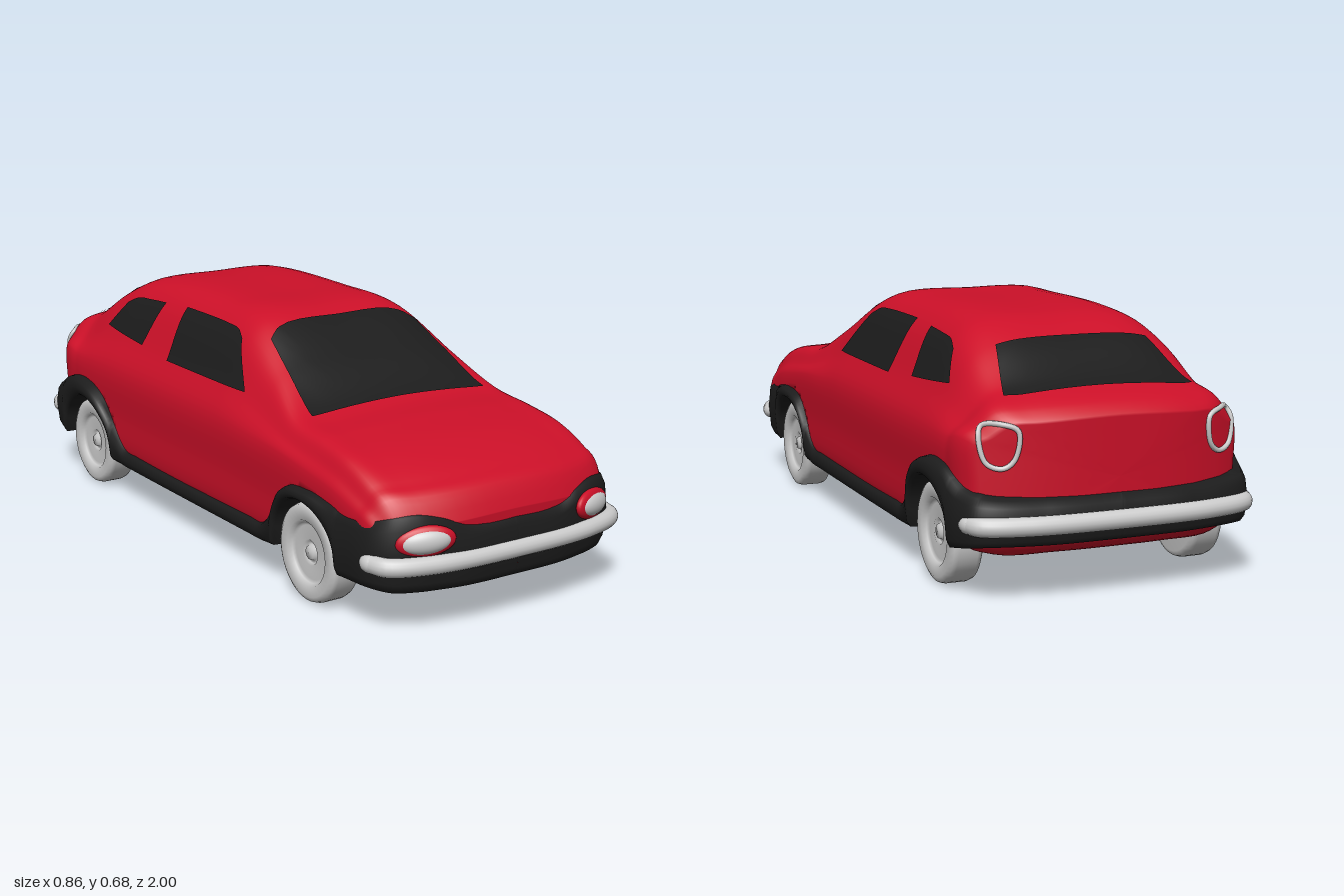
import * as THREE from 'three';

const mat = (color, side = THREE.FrontSide) => new THREE.MeshStandardMaterial({ color, side });
const RED = mat(0xcc1028), GREY = mat(0xcccccc);
const BLACK = mat(0x1c1c1c), GLASS = mat(0x1c1c1c, THREE.DoubleSide);
const AXLES = [0.58, -0.66], WHEEL_R = 0.135, ARCH_R = 0.15;
const lerp = THREE.MathUtils.lerp;

function mesh(name, geometry, material) {
  const m = new THREE.Mesh(geometry, material);
  m.name = name;
  return m;
}

// Surface through a list of equally long rows of points
function grid(rows) {
  const n = rows[0].length, index = [];
  for (let i = 0; i < rows.length - 1; i++) {
    for (let j = 0; j < n - 1; j++) {
      const a = i * n + j, c = a + n;
      index.push(a, a + 1, c, a + 1, c + 1, c);
    }
  }
  const g = new THREE.BufferGeometry();
  g.setAttribute('position', new THREE.Float32BufferAttribute(rows.flat(2), 3));
  g.setIndex(index);
  g.computeVertexNormals();
  return g;
}

// Stations, rear to front: z, floor, half width, shoulder height, roof half width, top
const STATIONS = [
  [-0.945, 0.15, 0.365, 0.4, 0.29, 0.465],
  [-0.92, 0.125, 0.38, 0.41, 0.305, 0.487],
  [-0.8, 0.11, 0.388, 0.4, 0.29, 0.535],
  [-0.65, 0.105, 0.39, 0.4, 0.285, 0.62],
  [-0.55, 0.1, 0.39, 0.4, 0.28, 0.66],
  [-0.45, 0.1, 0.39, 0.4, 0.275, 0.674],
  [-0.1, 0.098, 0.39, 0.4, 0.275, 0.677],
  [0.08, 0.1, 0.39, 0.4, 0.275, 0.672],
  [0.14, 0.1, 0.39, 0.4, 0.28, 0.655],
  [0.3, 0.1, 0.39, 0.39, 0.3, 0.565],
  [0.45, 0.1, 0.39, 0.38, 0.335, 0.475],
  [0.6, 0.105, 0.39, 0.36, 0.34, 0.455],
  [0.75, 0.11, 0.39, 0.34, 0.345, 0.43],
  [0.88, 0.115, 0.385, 0.31, 0.345, 0.387],
  [0.94, 0.125, 0.38, 0.29, 0.34, 0.352],
  [0.965, 0.16, 0.36, 0.26, 0.33, 0.3],
];

function bodyGeometry() {
  const spline = new THREE.CubicInterpolant(
    STATIONS.map(s => s[0]), STATIONS.flatMap(s => s.slice(1)), 5);

  const section = (z, scale) => {
    const [yb, w, ys, rw, yt] = spline.evaluate(z);
    const half = [
      [0.4 * w, yb], [0.78 * w, yb], [0.965 * w, yb + 0.03], [w, lerp(yb + 0.03, ys, 0.5)], [w, ys],
      [lerp(w, rw, 0.4), lerp(ys, yt, 0.34)], [rw, lerp(ys, yt, 0.8)], [rw * 0.74, yt - 0.008],
    ];
    const loop = [[0, yb], ...half, [0, yt], ...half.map(([x, y]) => [-x, y]).reverse()];
    const curve = new THREE.CatmullRomCurve3(loop.map(([x, y]) => new THREE.Vector3(x, y, 0)), true);
    const mid = (yb + yt) / 2;
    return curve.getPoints(108).map(p => {
      let x = p.x * scale;
      const y = lerp(mid, p.y, scale);
      // Round the nose and tail in plan
      const end = THREE.MathUtils.smoothstep(Math.abs(z), 0.6, 0.965);
      const zz = z - Math.sign(z) * 0.09 * end * Math.abs(x / 0.39) ** 3;
      // Recess the wheel wells
      const inWell = AXLES.some(a => Math.hypot(zz - a, y - WHEEL_R) < ARCH_R + 0.008);
      if (inWell && Math.abs(x) > 0.28) x = Math.sign(x) * 0.28;
      return [x, y, zz];
    });
  };

  const rows = [], steps = 160, caps = [0, 0.3, 0.6, 0.85, 0.96];
  const z0 = STATIONS[0][0], z1 = STATIONS.at(-1)[0];
  caps.forEach(s => rows.push(section(z0, s)));
  for (let i = 0; i <= steps; i++) rows.push(section(lerp(z0, z1, i / steps), 1));
  caps.reverse().forEach(s => rows.push(section(z1, s)));
  return grid(rows);
}

// Lower cladding, nose to tail: x, z, top, bottom
const TRIM = [
  [0, 0.975, 0.28, 0.12], [0.15, 0.972, 0.28, 0.12], [0.22, 0.96, 0.305, 0.12],
  [0.29, 0.942, 0.317, 0.12], [0.35, 0.91, 0.312, 0.12], [0.385, 0.86, 0.302, 0.125],
  [0.4, 0.75, 0.302, 0.125], [0.415, 0.6, 0.315, 0.12], [0.41, 0.48, 0.29, 0.12],
  [0.398, 0.4, 0.19, 0.11], [0.395, 0.36, 0.16, 0.105], [0.395, 0.3, 0.158, 0.105],
  [0.395, -0.37, 0.158, 0.105], [0.395, -0.43, 0.162, 0.105], [0.4, -0.48, 0.205, 0.11],
  [0.418, -0.56, 0.295, 0.12], [0.423, -0.66, 0.335, 0.12], [0.418, -0.76, 0.33, 0.125],
  [0.405, -0.86, 0.285, 0.14], [0.37, -0.92, 0.272, 0.15], [0.2, -0.96, 0.265, 0.15],
  [0, -0.967, 0.265, 0.15],
];

function trimGeometry() {
  const times = [0];
  for (let i = 1; i < TRIM.length; i++) {
    times.push(times[i - 1] + Math.hypot(TRIM[i][0] - TRIM[i - 1][0], TRIM[i][1] - TRIM[i - 1][1]));
  }
  const spline = new THREE.CubicInterpolant(times, TRIM.flat(), 4);
  const at = t => Array.from(spline.evaluate(t));
  const total = times.at(-1), steps = 320, rows = [];
  for (let i = 0; i <= steps; i++) {
    const t = total * i / steps;
    const [x, z, top, low] = at(t);
    const p = at(Math.max(0, t - 0.004)), q = at(Math.min(total, t + 0.004));
    const len = Math.hypot(q[0] - p[0], q[1] - p[1]);
    const nx = -(q[1] - p[1]) / len, nz = (q[0] - p[0]) / len;
    // Lift the lower edge over the wheels
    let bottom = low, inset = 0.05;
    for (const a of AXLES) {
      const d = Math.abs(z - a);
      if (d < ARCH_R && Math.abs(x) > 0.3) {
        bottom = Math.max(low, WHEEL_R + Math.sqrt(ARCH_R ** 2 - d * d));
        inset = 0.13;
      }
    }
    const h = top - bottom;
    const profile = [[-0.05, top + 0.006], [-0.012, top], [0, top - 0.15 * h], [0.006, top - 0.5 * h],
      [0, bottom + 0.12 * h], [-0.01, bottom], [-inset, bottom]];
    rows.push(profile.map(([o, y]) => [Math.max(0, x + nx * o), y, z + nz * o]));
  }
  const mirrored = rows.slice().reverse().map(r => r.map(([x, y, z]) => [-x, y, z]));
  return grid([...rows, ...mirrored]);
}

export function createModel() {
  const car = new THREE.Group();
  car.name = 'car';
  const body = mesh('body', bodyGeometry(), RED);
  car.add(body, mesh('lowerCladding', trimGeometry(), BLACK));

  // Drop a point onto the body and lift it slightly off the paint
  const ray = new THREE.Raycaster();
  const project = (origin, dir, lift = 0.004) => {
    ray.set(new THREE.Vector3(...origin), new THREE.Vector3(...dir));
    const hit = ray.intersectObject(body)[0];
    return hit ? hit.point.addScaledVector(hit.face.normal, lift) : null;
  };

  // Window between a lower and an upper edge, laid on the body
  const pane = (name, lower, upper, toRay) => {
    const edge = pts => new THREE.CatmullRomCurve3(pts.map(([a, b]) => new THREE.Vector3(a, b, 0))).getPoints(20);
    const lo = edge(lower), up = edge(upper), rows = [];
    for (let i = 0; i <= 14; i++) {
      rows.push(lo.map((p, j) => {
        const q = p.clone().lerp(up[j], i / 14);
        return project(...toRay(q.x, q.y)).toArray();
      }));
    }
    car.add(mesh(name, grid(rows), GLASS));
  };
  const fromAbove = (x, z) => [[x, 2, z], [0, -1, 0]];
  pane('windshield', [[-0.29, 0.46], [0, 0.452], [0.29, 0.46]],
    [[-0.245, 0.185], [-0.2, 0.16], [0, 0.153], [0.2, 0.16], [0.245, 0.185]], fromAbove);
  pane('rearWindow', [[-0.265, -0.825], [-0.22, -0.84], [0, -0.842], [0.22, -0.84], [0.265, -0.825]],
    [[-0.215, -0.655], [0, -0.647], [0.215, -0.655]], fromAbove);

  const wheelProfile = [[0, -0.045], [0.118, -0.045], [0.131, -0.038], [0.135, -0.026], [0.135, 0.026],
    [0.131, 0.038], [0.118, 0.045], [0.09, 0.043], [0.082, 0.032], [0.074, 0.026], [0.035, 0.03],
    [0.03, 0.022], [0.022, 0.022], [0.018, 0.032], [0, 0.034]].map(p => new THREE.Vector2(...p));
  const wheelGeometry = new THREE.LatheGeometry(wheelProfile, 40);

  for (const s of [1, -1]) {
    const side = s > 0 ? 'left' : 'right';
    const fromSide = (z, y) => [[s * 2, y, z], [-s, 0, 0]];
    pane(side + 'FrontWindow', [[0.21, 0.482], [0, 0.482], [-0.222, 0.482]],
      [[0.1, 0.605], [0.06, 0.623], [0, 0.628], [-0.1, 0.63], [-0.237, 0.63]], fromSide);
    pane(side + 'RearWindow', [[-0.388, 0.495], [-0.5, 0.502], [-0.63, 0.512]],
      [[-0.355, 0.623], [-0.45, 0.617], [-0.52, 0.61], [-0.565, 0.59]], fromSide);

    // Headlight: lens in a red bezel
    const headlight = new THREE.Group();
    headlight.name = side + 'Headlight';
    const bezel = mesh('bezel', new THREE.SphereGeometry(1, 32, 20), RED);
    bezel.scale.set(0.079, 0.041, 0.02);
    const lens = mesh('lens', new THREE.SphereGeometry(1, 32, 20), GREY);
    lens.scale.set(0.069, 0.034, 0.028);
    headlight.add(bezel, lens);
    headlight.position.set(s * 0.272, 0.256, 0.945);
    headlight.rotation.set(0, s * 0.38, -s * 0.08);
    car.add(headlight);

    // Tail light surround
    const outline = [[0.265, 0.435], [0.3, 0.45], [0.34, 0.445], [0.352, 0.42], [0.338, 0.355], [0.3, 0.342], [0.272, 0.365]]
      .map(([x, y]) => project([s * x, y, -2], [0, 0, 1], 0.003)).filter(Boolean);
    car.add(mesh(side + 'TailLightRing',
      new THREE.TubeGeometry(new THREE.CatmullRomCurve3(outline, true), 56, 0.007, 8, true), GREY));

    AXLES.forEach((z, i) => {
      const wheel = mesh(side + (i ? 'RearWheel' : 'FrontWheel'), wheelGeometry, GREY);
      wheel.position.set(s * 0.345, WHEEL_R, z);
      wheel.rotation.z = -s * Math.PI / 2;
      car.add(wheel);
    });
  }

  // Wrap-around bumpers with rounded ends
  const bumper = (name, y, half) => {
    const pts = [...half.map(([x, z]) => [-x, z]), ...half.slice(0, -1).reverse()]
      .map(([x, z]) => new THREE.Vector3(x, y, z));
    const group = new THREE.Group();
    group.name = name;
    group.add(mesh('bar', new THREE.TubeGeometry(new THREE.CatmullRomCurve3(pts), 80, 0.025, 16), GREY));
    for (const p of [pts[0], pts.at(-1)]) {
      const tip = mesh('tip', new THREE.SphereGeometry(0.025, 16, 12), GREY);
      tip.position.copy(p);
      tip.scale.z = 1.4;
      group.add(tip);
    }
    car.add(group);
  };
  bumper('frontBumper', 0.195, [[0.383, 0.865], [0.365, 0.915], [0.25, 0.96], [0, 0.975]]);
  bumper('rearBumper', 0.205, [[0.383, -0.885], [0.365, -0.925], [0.25, -0.962], [0, -0.975]]);
  return car;
}
